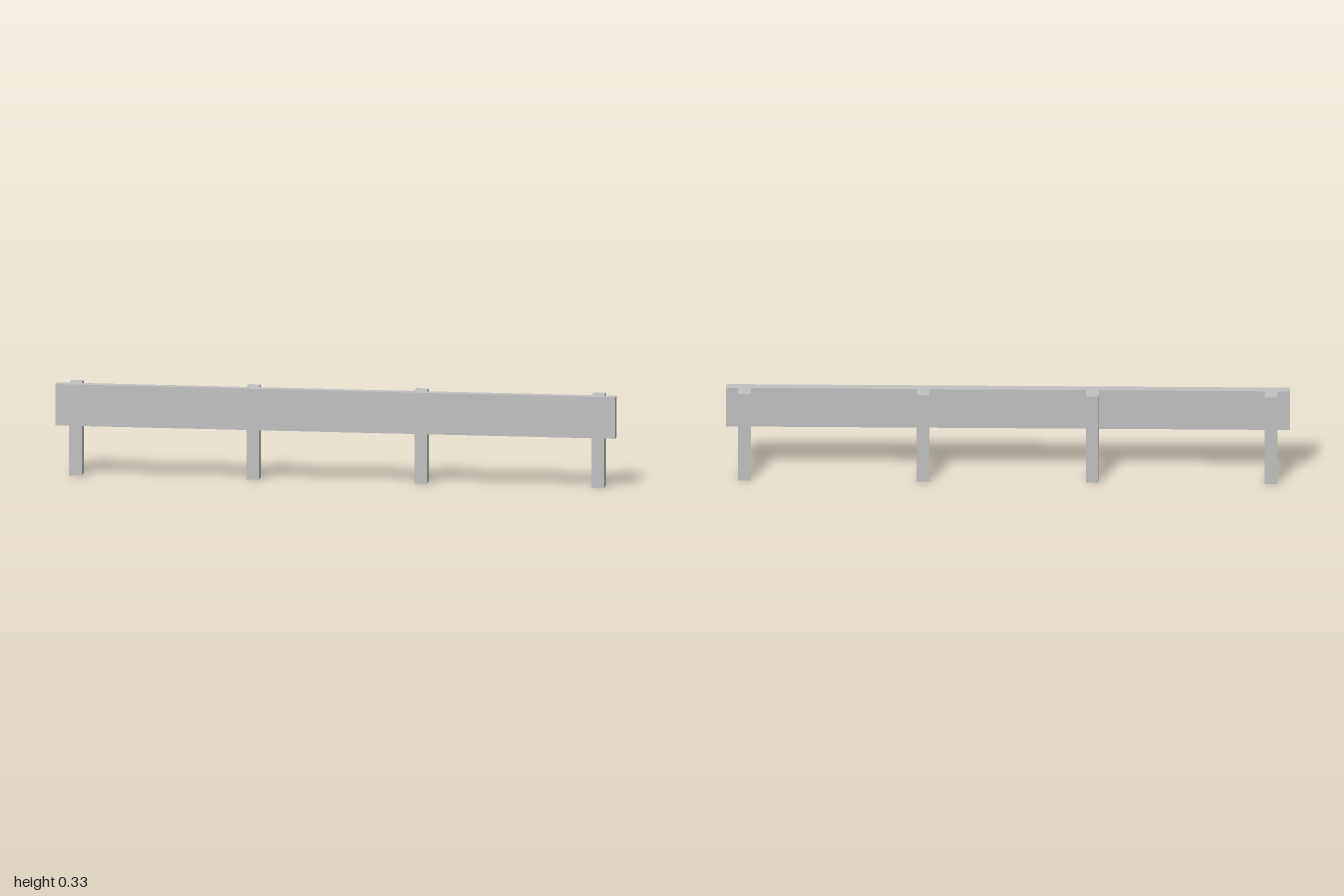
import * as THREE from 'three';

export function createModel() {
  const model = new THREE.Group();
  model.name = 'barrier';

  const greyPaint = new THREE.MeshStandardMaterial({ color: 0xc0c0c0 });
  greyPaint.name = 'grey paint';

  const top = 0.334, front = 0.0445, back = -0.0435, joint = 0.011;

  // Box given by its lower and upper limits on each axis
  function addBox(name, x0, x1, y0, y1, z0, z1) {
    const mesh = new THREE.Mesh(new THREE.BoxGeometry(x1 - x0, y1 - y0, z1 - z0), greyPaint);
    mesh.position.set((x0 + x1) / 2, (y0 + y1) / 2, (z0 + z1) / 2);
    mesh.name = name;
    model.add(mesh);
  }

  // Long board across the front
  addBox('rail', -1, 1, 0.185, top, joint, front);

  // Four posts standing behind the board, flush with its top
  const half = 0.0225;
  [-0.933, -0.3, 0.3, 0.933].forEach((x, i) => {
    addBox('post' + (i + 1), x - half, x + half, 0, top, back, joint);
  });

  return model;
}
